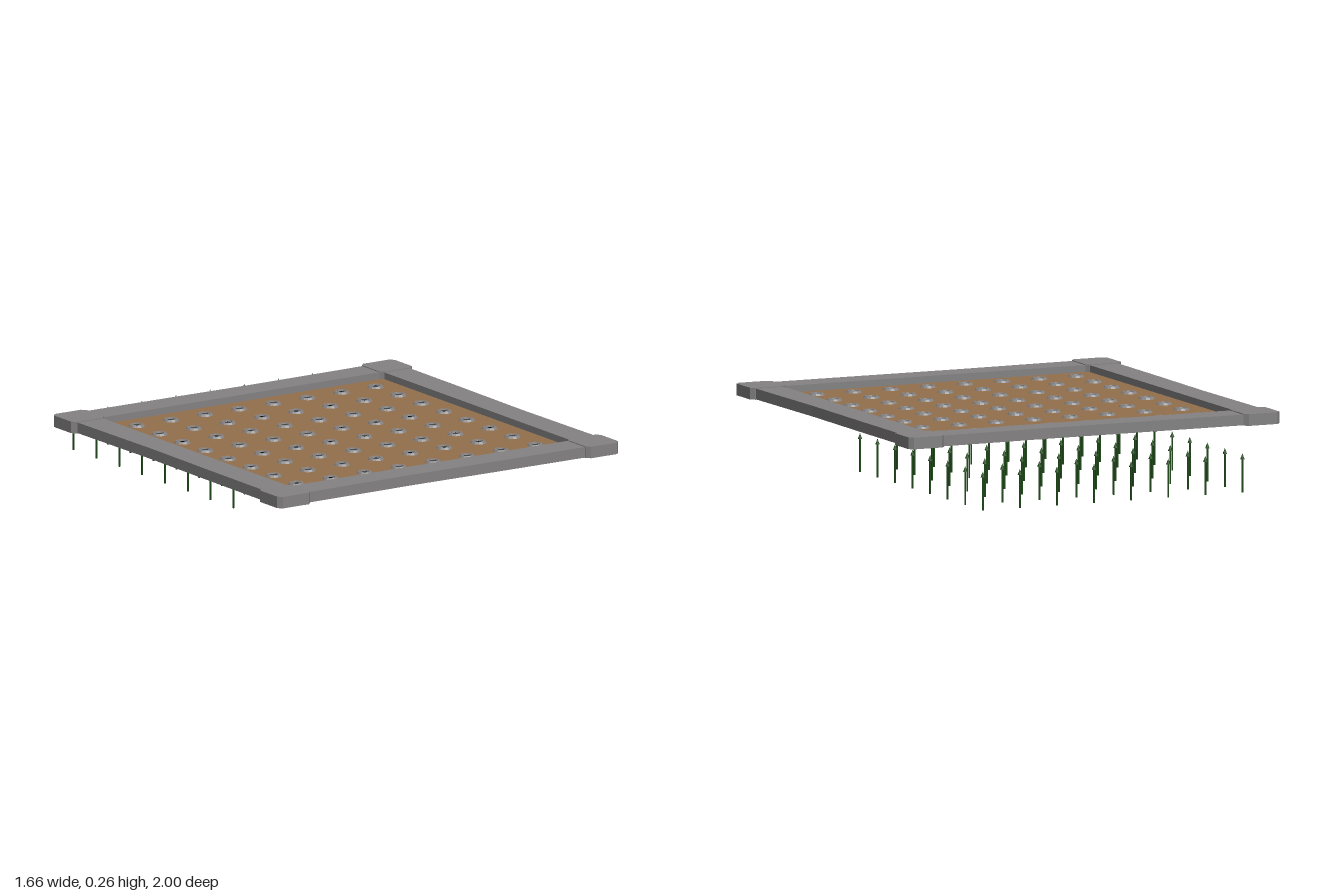
import * as THREE from 'three';

const CENTER_Z = 0.17;
const STEP = 0.166;

const material = (name, color) => {
  const m = new THREE.MeshStandardMaterial({ color });
  m.name = name;
  return m;
};

// Upright prism from a plan outline, standing on height y
function prism(shape, y, height) {
  const g = new THREE.ExtrudeGeometry(shape, { depth: height, bevelEnabled: false });
  g.rotateX(-Math.PI / 2);
  g.translate(0, y, 0);
  return g;
}

// Square outline with cut corners
function cutSquare(half, cut, Type = THREE.Shape) {
  const a = half, b = half - cut;
  return new Type([[a, -b], [a, b], [b, a], [-b, a], [-a, b], [-a, -b], [-b, -a], [b, -a]]
    .map(([x, y]) => new THREE.Vector2(x, y)));
}

export function createModel() {
  const stone = material('stone grey', 0x848282);
  const board = material('board brown', 0x94704c);
  const black = material('pit black', 0x050505);
  const green = material('spike green', 0x1c4a16);

  const model = new THREE.Group();
  model.name = 'spikeTrap';
  const add = (name, geometry, mat, x, y, z, parent = model) => {
    const mesh = new THREE.Mesh(geometry, mat);
    mesh.name = name;
    mesh.position.set(x, y, z);
    parent.add(mesh);
    return mesh;
  };

  // Frame: slightly worn bars around the opening
  const outline = new THREE.Shape();
  const worn = [[-0.68, 0.81], [-0.3, 0.808], [0.15, 0.803], [0.68, 0.81]];
  for (let side = 0; side < 4; side++) {
    for (const [u, v] of worn) {
      const p = new THREE.Vector2(u, v).rotateAround(new THREE.Vector2(), -side * Math.PI / 2);
      if (outline.curves.length === 0 && side === 0 && u === -0.68) outline.moveTo(p.x, p.y);
      else outline.lineTo(p.x, p.y);
    }
  }
  outline.closePath();
  outline.holes.push(cutSquare(0.685, 0.015, THREE.Path));
  add('frame', prism(outline, 0.216, 0.044), stone, 0, 0, CENTER_Z);

  // Chamfered corner blocks
  const cornerGeometry = prism(cutSquare(0.08, 0.017), 0.215, 0.048);
  for (const sx of [-1, 1]) for (const sz of [-1, 1]) {
    add('cornerBlock', cornerGeometry, stone, sx * 0.75, 0, CENTER_Z + sz * 0.75);
  }

  // Floor board, with a dark sheet below
  add('floorBoard', new THREE.BoxGeometry(1.52, 0.018, 1.52), board, 0, 0.223, CENTER_Z);
  add('darkUnderside', new THREE.BoxGeometry(1.52, 0.002, 1.52), black, 0, 0.2135, CENTER_Z);

  // Hole collars, raised from the board around dark openings
  const collarGeometry = new THREE.LatheGeometry(
    [[0.017, 0], [0.019, 0.008], [0.028, 0.008], [0.034, 0]]
      .reverse().map(([r, y]) => new THREE.Vector2(r, y)), 12).toNonIndexed();
  collarGeometry.computeVertexNormals();
  const holeGeometry = new THREE.CircleGeometry(0.0185, 12).rotateX(-Math.PI / 2);
  const holes = new THREE.Group();
  holes.name = 'holes';
  model.add(holes);

  // Spikes: thin shafts with pointed heads, waiting below
  const shaftGeometry = new THREE.CylinderGeometry(0.004, 0.004, 0.14, 6);
  const headGeometry = new THREE.ConeGeometry(0.009, 0.024, 6);
  const spikes = new THREE.Group();
  spikes.name = 'spikes';
  model.add(spikes);

  for (let i = 0; i < 8; i++) for (let j = 0; j < 8; j++) {
    const hx = (i - 3.5) * STEP, hz = CENTER_Z + (j - 3.5) * STEP;
    add('holeCollar', collarGeometry, stone, hx, 0.232, hz, holes);
    add('holeOpening', holeGeometry, black, hx, 0.234, hz, holes);
    const sx = -0.5 + i * STEP, sz = -0.991 + j * STEP;
    add('spikeShaft', shaftGeometry, green, sx, 0.07, sz, spikes);
    add('spikeHead', headGeometry, green, sx, 0.148, sz, spikes);
  }
  stone.side = THREE.DoubleSide;
  return model;
}
